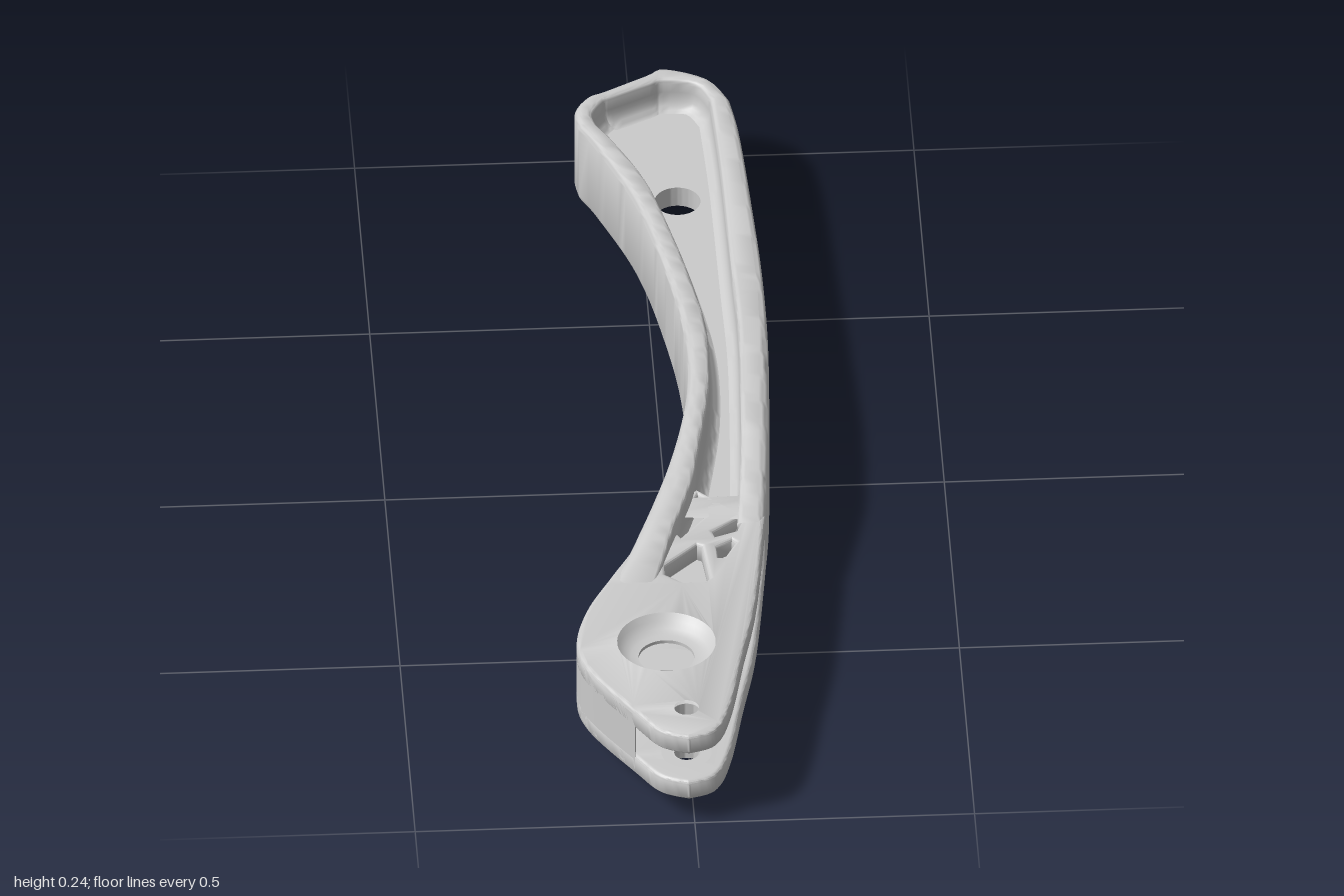
import * as THREE from 'three';
import { toCreasedNormals } from 'three/addons/utils/BufferGeometryUtils.js';

const MID = 0.12; // height of the plane of symmetry
const vec = (list) => list.map(([x, z]) => new THREE.Vector2(x, z));
const smooth = (list, n) => new THREE.SplineCurve(vec(list)).getPoints(n);
const cut = (pts, z0, z1) => pts.filter((p) => p.y >= z0 && p.y <= z1);

// piecewise linear lookup in [[z, value], ...] with rising z
function lerpTable(table, z) {
  if (z <= table[0][0]) return table[0][1];
  for (let i = 1; i < table.length; i++) {
    const [a, va] = table[i - 1], [b, vb] = table[i];
    if (z <= b) return va + ((vb - va) * (z - a)) / (b - a);
  }
  return table[table.length - 1][1];
}

// half height of the rim walls, and rounding of their outer top edge
const BACK = [[-1, 0.083], [-0.5, 0.084], [-0.3, 0.092], [-0.1, 0.11], [0, 0.116], [0.1, 0.12]];
const LEFT_H = [...BACK, [0.2, 0.118], [0.3, 0.113], [0.4, 0.1], [0.48, 0.08], [0.54, 0.068]];
const RIGHT_H = [...BACK, [0.13, 0.119], [0.36, 0.07]];
const LEFT_R = [[-0.2, 0.012], [0.1, 0.022], [0.3, 0.034]];
const RIGHT_R = [[-0.3, 0.012], [0.1, 0.02], [0.36, 0.014]];

// outlines seen from above, as (x, z)
const concaveEdge = smooth([[-0.108, -0.83], [-0.08, -0.77], [-0.02, -0.6], [0.02, -0.4], [0.043, -0.2],
  [0.04, 0], [0.0, 0.2], [-0.07, 0.4], [-0.12, 0.5], [-0.17, 0.6],
  [-0.195, 0.7], [-0.178, 0.79], [-0.1, 0.92], [-0.06, 0.977], [-0.01, 1.0]], 110);
const convexEdge = smooth([[0.165, -0.9], [0.177, -0.8], [0.187, -0.6], [0.194, -0.4], [0.194, -0.2],
  [0.187, 0], [0.175, 0.2], [0.155, 0.4], [0.13, 0.6], [0.1, 0.75], [0.07, 0.9], [0.04, 0.977], [-0.01, 1.0]], 100);
const channelLeft = smooth([[-0.075, -0.835], [-0.055, -0.8], [-0.01, -0.7], [0.02, -0.6], [0.06, -0.4],
  [0.085, -0.2], [0.08, 0], [0.05, 0.2], [0.03, 0.3], [-0.01, 0.42], [-0.05, 0.55]], 60);
const channelRight = smooth([[0.13, -0.9], [0.137, -0.7], [0.14, -0.4], [0.142, -0.2], [0.135, 0],
  [0.125, 0.2], [0.11, 0.36]], 40);
const endOuter = smooth([[-0.108, -0.83], [-0.113, -0.88], [-0.09, -0.92], [-0.06, -0.937], [0.02, -0.982],
  [0.055, -1], [0.13, -0.965], [0.165, -0.9]], 28);
const endInner = smooth([[-0.075, -0.835], [-0.082, -0.87], [-0.06, -0.908], [-0.045, -0.916], [0.025, -0.952],
  [0.05, -0.962], [0.105, -0.95], [0.13, -0.9]], 28);

const material = new THREE.MeshStandardMaterial({ color: 0xcccccc });
const openMaterial = new THREE.MeshStandardMaterial({ color: 0xcccccc, side: THREE.DoubleSide });

function add(group, name, geometry, mat = material) {
  const mesh = new THREE.Mesh(geometry, mat);
  mesh.name = name;
  group.add(mesh);
}

function circle(x, z, r) {
  return new THREE.Path().absarc(x, z, r, 0, Math.PI * 2, true);
}

// horizontal slab between y0 and y1 (relative to MID) with rounded rims
function slab(outline, holes, y0, y1, bevel = 0) {
  const shape = new THREE.Shape(outline);
  shape.holes = holes;
  const geo = new THREE.ExtrudeGeometry(shape, {
    depth: y1 - y0 - 2 * bevel, curveSegments: 32, bevelEnabled: bevel > 0,
    bevelThickness: bevel, bevelSize: bevel, bevelOffset: -bevel, bevelSegments: 4,
  });
  geo.rotateX(Math.PI / 2).translate(0, MID + y1 - bevel, 0);
  return toCreasedNormals(geo, 0.65);
}

// cross-section of a wall: [distance from its outer face, height], ending in a fillet at the web
function wallSection(width, h, r) {
  const half = [];
  const arc = (n, f) => { for (let i = 0; i <= n; i++) half.push(f((i / n) * Math.PI / 2)); };
  const ri = 0.01;
  arc(5, (a) => [r * (1 - Math.cos(a)), h - r * (1 - Math.sin(a))]);
  arc(4, (a) => [width - ri * (1 - Math.sin(a)), h - ri * (1 - Math.cos(a))]);
  arc(6, (a) => [width + 0.024 * (1 - Math.cos(a)), 0.019 + 0.036 * (1 - Math.sin(a))]);
  return [...half, ...half.map(([d, y]) => [d, -y]).reverse()];
}

// matched outer and inner points round the lever, with wall height and rounding
function rimStations() {
  const list = [];
  const wall = (outer, inner, z0, z1, n, hTable, rTable) => {
    const [o, c] = [outer, inner].map((pts) => pts.map((p) => [p.y, p.x]));
    for (let i = 0; i <= n; i++) {
      const z = z0 + ((z1 - z0) * i) / n;
      list.push({ o: new THREE.Vector2(lerpTable(o, z), z), c: new THREE.Vector2(lerpTable(c, z), z),
        h: lerpTable(hTable, z), r: lerpTable(rTable, z) });
    }
  };
  wall(concaveEdge, channelLeft, 0.55, -0.8, 80, LEFT_H, LEFT_R);
  endOuter.forEach((o, i) => list.push({ o, c: endInner[i], h: lerpTable(BACK, o.y), r: 0.012 }));
  wall(convexEdge, channelRight, -0.88, 0.36, 70, RIGHT_H, RIGHT_R);
  return list;
}

function rimGeometry(stations) {
  const pos = [], index = [];
  let n = 0;
  stations.forEach(({ o, c, h, r }, i) => {
    const dir = c.clone().sub(o), width = dir.length();
    dir.normalize();
    const section = wallSection(width, h, r);
    n = section.length;
    section.forEach(([d, y], j) => {
      pos.push(o.x + dir.x * d, MID + y, o.y + dir.y * d);
      if (!i) return;
      const k = (j + 1) % n, a = (i - 1) * n, b = i * n;
      index.push(a + j, a + k, b + j, a + k, b + k, b + j);
    });
  });
  const geo = new THREE.BufferGeometry();
  geo.setAttribute('position', new THREE.Float32BufferAttribute(pos, 3));
  geo.setIndex(index);
  return toCreasedNormals(geo, 0.65);
}

// dished ring set into a fork plate, profile running from the rim down into the hole
function dish(x, z, profile, side) {
  const geo = new THREE.LatheGeometry(vec(profile), 48);
  geo.scale(1, side, 1).translate(x, MID, z);
  if (side < 0) {
    const idx = geo.index.array;
    for (let i = 0; i < idx.length; i += 3) [idx[i], idx[i + 1]] = [idx[i + 1], idx[i]];
  }
  return toCreasedNormals(geo, 0.6);
}

export function createModel() {
  const lever = new THREE.Group();
  lever.name = 'lever';

  // tall rim running round the channel
  const stations = rimStations();
  add(lever, 'rim', rimGeometry(stations), openMaterial);

  // thin web closing the middle of the channel, with a through hole
  const webOutline = cut(stations.map((s) => s.c), -1, 0.36);
  add(lever, 'web', slab(webOutline, [circle(0.06, -0.68, 0.041)], -0.02, 0.02));

  // fork plates with pivot hole, pin hole and lightening pockets
  const plateOutline = [...cut(concaveEdge, 0.25, 1), ...cut(convexEdge, 0.25, 0.999).reverse()];
  const pockets = [
    [[0.045, 0.27], [0.053, 0.28], [0.053, 0.335], [0.008, 0.395], [0.0, 0.38]],
    [[0.112, 0.345], [0.119, 0.352], [0.108, 0.38], [0.07, 0.395], [0.066, 0.382]],
    [[0.035, 0.42], [0.043, 0.425], [0.052, 0.52], [0.045, 0.53], [0.005, 0.53], [-0.025, 0.505], [-0.025, 0.48]],
    [[0.07, 0.425], [0.098, 0.408], [0.104, 0.415], [0.082, 0.46], [0.072, 0.458]],
  ];
  const pivotProfile = [[0.112, 0.0695], [0.103, 0.068], [0.096, 0.061], [0.088, 0.051], [0.077, 0.042],
    [0.064, 0.037], [0.05, 0.036], [0.05, 0.0295], [0.115, 0.0295]];
  const pinProfile = [[0.045, 0.0695], [0.034, 0.062], [0.025, 0.06], [0.025, 0.0295], [0.045, 0.0295]];
  for (const side of [1, -1]) {
    const where = side > 0 ? 'upper' : 'lower';
    const span = (a, b) => (side > 0 ? [a, b] : [-b, -a]);
    const holes = [circle(-0.035, 0.71, 0.096), circle(-0.01, 0.91, 0.03),
      ...pockets.map((p) => new THREE.Path(vec(p)))];
    add(lever, where + 'ForkPlate', slab(plateOutline, holes, ...span(0.03, 0.07), 0.008));
    add(lever, where + 'PivotDish', dish(-0.035, 0.71, pivotProfile, side));
    add(lever, where + 'PinDish', dish(-0.01, 0.91, pinProfile, side));
    add(lever, where + 'PocketFloor',
      slab(vec([[0.05, 0.33], [0.125, 0.33], [0.115, 0.5], [0.05, 0.5]]), [], ...span(0.03, 0.036)));
  }

  // closed side of the fork, and the block that ends the slot
  const cheek = [...cut(concaveEdge, 0.5, 0.92), ...smooth([[-0.1, 0.9], [-0.145, 0.77], [-0.143, 0.65],
    [-0.1, 0.58], [-0.05, 0.54]], 16)];
  add(lever, 'forkCheek', slab(cheek, [], -0.06, 0.06));
  add(lever, 'slotEnd', slab(vec([[0.03, 0.25], [0.13, 0.25], [0.158, 0.362], [0.065, 0.362], [0.055, 0.54],
    [-0.1, 0.58], [-0.08, 0.5], [-0.02, 0.4]]), [], -0.034, 0.034));

  return lever;
}
